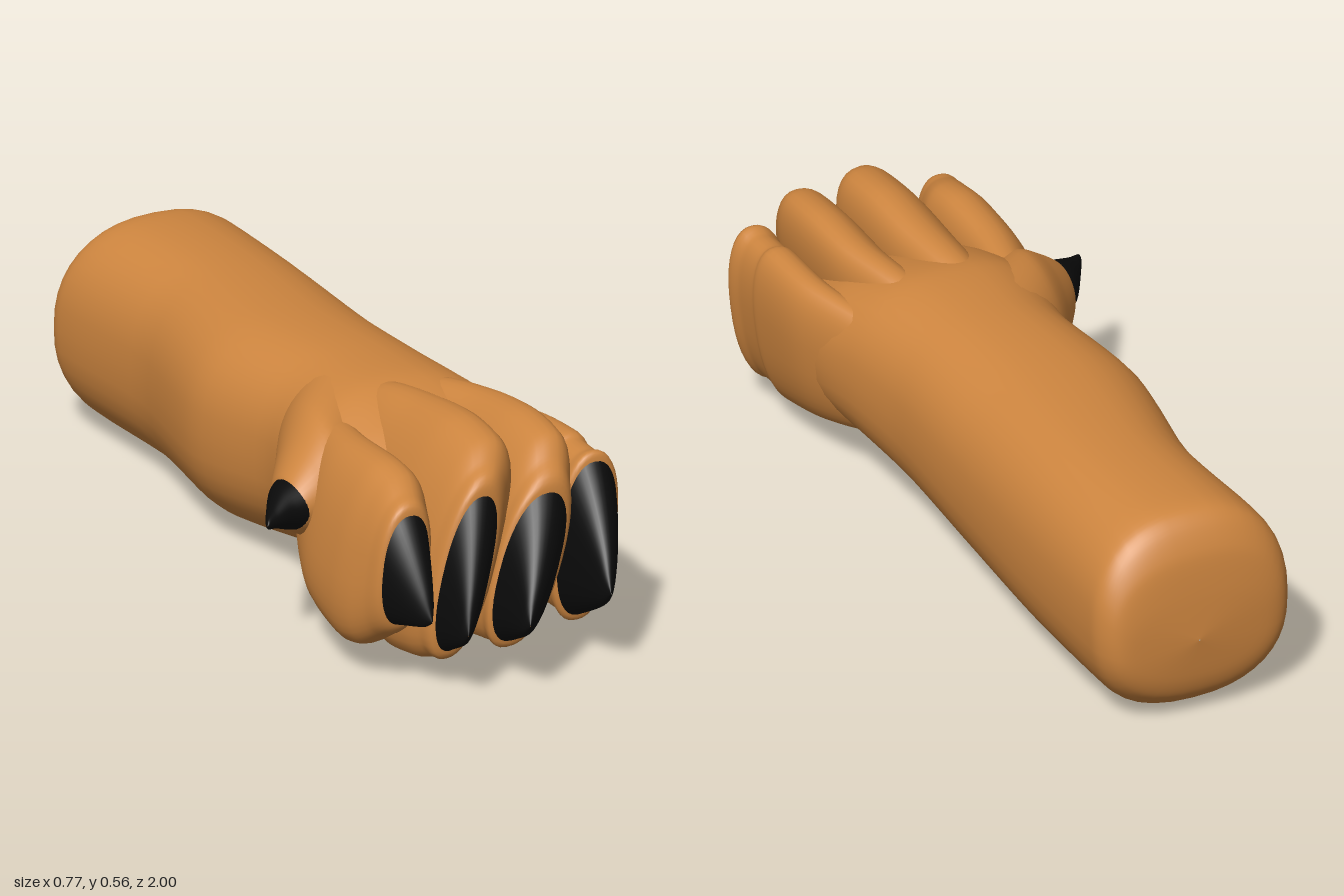
import * as THREE from 'three';

const fur = new THREE.MeshStandardMaterial({ color: 0xcd853f });
const horn = new THREE.MeshStandardMaterial({ color: 0x0a0a0a });

// Lofts superellipse sections along z: [z, cx, cy, rx, ry, shear of x by y]
function loft(sections, steps, power) {
  const centres = new THREE.CatmullRomCurve3(
    sections.map((s) => new THREE.Vector3(s[1], s[2], s[0])), false, 'catmullrom', 0.4);
  const sizes = new THREE.CatmullRomCurve3(
    sections.map((s) => new THREE.Vector3(s[3], s[4], s[5] || 0)), false, 'catmullrom', 0.4);
  const N = 40;
  const rings = (sections.length - 1) * steps;
  const pos = [];
  const index = [];
  const round = (v) => Math.sign(v) * Math.pow(Math.abs(v), 2 / power);
  for (let i = 0; i <= rings; i++) {
    const c = centres.getPoint(i / rings);
    const r = sizes.getPoint(i / rings);
    for (let j = 0; j < N; j++) {
      const a = (j / N) * Math.PI * 2;
      const y = r.y * round(Math.sin(a));
      pos.push(c.x + r.x * round(Math.cos(a)) + r.z * y, c.y + y, c.z);
      if (i === rings) continue;
      const k = i * N + j;
      const n = i * N + ((j + 1) % N);
      index.push(k, n, n + N, k, n + N, k + N);
    }
  }
  const geo = new THREE.BufferGeometry();
  geo.setAttribute('position', new THREE.Float32BufferAttribute(pos, 3));
  geo.setIndex(index);
  geo.computeVertexNormals();
  return geo;
}

export function createModel() {
  const model = new THREE.Group();
  const add = (name, geo, mat) => {
    const mesh = new THREE.Mesh(geo, mat);
    mesh.name = name;
    model.add(mesh);
    return mesh;
  };

  // Foreleg, wrist and palm in one run from the domed rear end to between the toes
  add('leg', loft([
    [-1.0, 0.08, 0.21, 0.002, 0.002],
    [-0.988, 0.07, 0.215, 0.17, 0.11],
    [-0.97, 0.066, 0.235, 0.22, 0.18],
    [-0.93, 0.066, 0.25, 0.244, 0.23],
    [-0.86, 0.067, 0.254, 0.246, 0.252],
    [-0.55, 0.077, 0.257, 0.235, 0.255],
    [-0.2, 0.048, 0.267, 0.257, 0.253],
    [0.08, 0.068, 0.287, 0.238, 0.24],
    [0.28, 0.068, 0.3, 0.262, 0.228],
    [0.42, 0.068, 0.283, 0.28, 0.21, 0.08],
    [0.52, 0.063, 0.26, 0.275, 0.195, 0.13],
    [0.63, 0.05, 0.243, 0.252, 0.172, 0.2],
    [0.73, 0.05, 0.24, 0.2, 0.13, 0.2],
    [0.75, 0.05, 0.24, 0.002, 0.002],
  ], 6, 2.4), fur);

  // Toes and claws, slanted slabs in a row
  const toes = [
    { x: -0.182, y: 0.28, rx: 0.09, ry: 0.212, lean: 0.2, end: 0.8, root: -0.04,
      claw: [-0.187, 0.295, 0.058, 0.132, 0.1], tip: [-0.175, 0.2, 0.92] },
    { x: -0.022, y: 0.295, rx: 0.11, ry: 0.267, lean: 0.3, end: 0.845, root: 0.02,
      claw: [-0.052, 0.278, 0.062, 0.183, 0.24], tip: [-0.105, 0.17, 0.965] },
    { x: 0.137, y: 0.295, rx: 0.096, ry: 0.25, lean: 0.32, end: 0.845, root: 0.11,
      claw: [0.11, 0.262, 0.077, 0.172, 0.28], tip: [0.035, 0.18, 1.0] },
    { x: 0.3, y: 0.265, rx: 0.075, ry: 0.205, lean: 0.13, end: 0.755, root: 0.18,
      claw: [0.303, 0.262, 0.071, 0.182, 0.12], tip: [0.265, 0.2, 0.955] },
  ];
  toes.forEach((t, n) => {
    const [cx, cy, crx, cry, cl] = t.claw;
    const e = t.end;
    const mid = (a, b, k) => a + (b - a) * k;
    add('toe' + (n + 1), loft([
      [0.05, t.root, 0.34, 0.03, 0.06, 0],
      [0.27, mid(t.root, t.x, 0.55), t.y + 0.03, t.rx * 0.75, t.ry * 0.72, t.lean * 0.6],
      [0.46, mid(t.root, t.x, 0.93), t.y + 0.012, t.rx * 0.93, t.ry * 0.9, t.lean],
      [0.62, t.x, t.y, t.rx, t.ry, t.lean],
      [e - 0.1, t.x, t.y, t.rx * 0.98, t.ry * 0.95, t.lean],
      [e - 0.04, mid(t.x, cx, 0.45), mid(t.y, cy, 0.45), mid(t.rx, crx, 0.4), mid(t.ry, cry, 0.5), mid(t.lean, cl, 0.5)],
      [e + 0.008, cx, cy, crx * 1.05, cry * 1.05, cl],
      [e + 0.01, cx, cy, 0.002, 0.002, cl],
    ], 6, 2.3), fur);

    // Claw narrows to a low point
    const sections = [];
    for (let i = 0; i <= 6; i++) {
      const k = i / 6;
      const s = Math.max(Math.pow(1 - k, 0.75), 0.01);
      sections.push([mid(e + 0.004, t.tip[2], k), mid(cx, t.tip[0], k * (0.6 + 0.4 * k)),
        mid(cy, t.tip[1], k * (0.7 + 0.3 * k)), crx * s * 1.03, cry * s * 1.03, cl]);
    }
    add('claw' + (n + 1), loft(sections, 3, 2.3), horn);
  });

  // Dewclaw digit flaring out of the inner side; lofted outward along -x
  const dewToe = add('dewToe', loft([
    [0.03, 0.16, 0.335, 0.21, 0.18],
    [0.15, 0.29, 0.335, 0.175, 0.155],
    [0.22, 0.355, 0.33, 0.124, 0.108],
    [0.27, 0.392, 0.325, 0.084, 0.07],
    [0.285, 0.4, 0.325, 0.06, 0.05],
    [0.287, 0.4, 0.325, 0.002, 0.002],
  ], 6, 2), fur);
  const dewClaw = add('dewClaw', loft([
    [0.25, 0.393, 0.325, 0.084, 0.068],
    [0.3, 0.418, 0.325, 0.064, 0.05],
    [0.345, 0.462, 0.325, 0.034, 0.025],
    [0.375, 0.495, 0.325, 0.012, 0.012],
    [0.382, 0.505, 0.325, 0.001, 0.001],
  ], 5, 2), horn);
  dewToe.rotation.y = dewClaw.rotation.y = -Math.PI / 2;

  return model;
}
